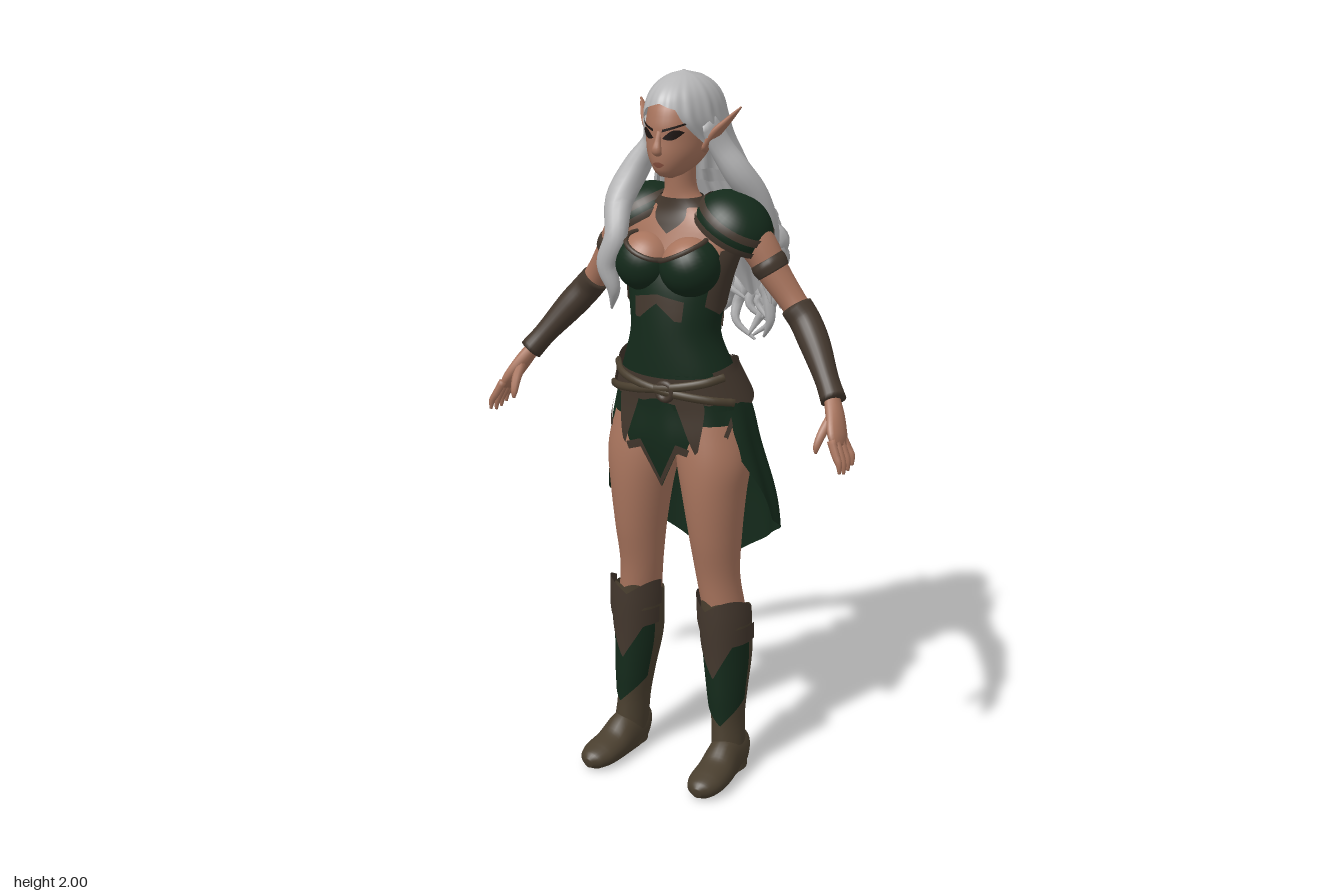
import * as THREE from 'three';
import { mergeVertices } from 'three/addons/utils/BufferGeometryUtils.js';

const mat = (name, color) => new THREE.MeshStandardMaterial({ name, color, side: THREE.DoubleSide });
const { PI, sin, cos, abs, max, min } = Math;

// Smooth grid bent by fn(u, v); v runs from top to bottom
function surface(fn, nu, nv) {
  const g = new THREE.PlaneGeometry(1, 1, nu, nv), p = g.attributes.position;
  for (let i = 0; i < p.count; i++) {
    const q = fn((i % (nu + 1)) / nu, Math.floor(i / (nu + 1)) / nv);
    p.setXYZ(i, q.x, q.y, q.z);
  }
  g.deleteAttribute('uv');
  g.deleteAttribute('normal');
  const m = mergeVertices(g, 1e-5);
  m.computeVertexNormals();
  return m;
}

// Upright body of elliptical rings [y, cx, cz, rx, rz]; angle 0 faces the front
function rings(rows) {
  const slope = (i, k) => {
    const a = rows[max(i - 1, 0)], b = rows[min(i + 1, rows.length - 1)];
    return (b[k] - a[k]) / (b[0] - a[0]);
  };
  return (a, y, off = 0) => {
    const yc = min(max(y, rows[rows.length - 1][0]), rows[0][0]);
    let i = 0;
    while (i < rows.length - 2 && yc < rows[i + 1][0]) i++;
    const A = rows[i], B = rows[i + 1], h = B[0] - A[0], t = (yc - A[0]) / h, s = 1 - t;
    const [cx, cz, rx, rz] = [1, 2, 3, 4].map(k =>
      A[k] * (1 + 2 * t) * s * s + slope(i, k) * h * t * s * s + B[k] * t * t * (3 - 2 * t) - slope(i + 1, k) * h * t * t * s);
    return new THREE.Vector3(cx + sin(a) * max(rx + off, 0.001), y, cz + cos(a) * max(rz + off, 0.001));
  };
}

const val = (f, ...x) => (typeof f === 'function' ? f(...x) : f);

// Strip of a ring body between two angles and two edges
function panel(at, a0, a1, top, bottom, off = 0, nu = 40, nv = 20) {
  return surface((u, v) => {
    const a = a0 + (a1 - a0) * u, y = val(top, a) * (1 - v) + val(bottom, a) * v;
    return at(a, y, val(off, a, y));
  }, nu, nv);
}
const around = (at, top, bottom, off, nu = 40, nv = 24) => panel(at, -PI, PI, top, bottom, off, nu, nv);

// Closed tube through rows [x, y, z, ra, rb]
function sweep(rows, nu = 14, steps = 5, ref = new THREE.Vector3(0, 0, 1)) {
  const path = new THREE.CatmullRomCurve3(rows.map(r => new THREE.Vector3(r[0], r[1], r[2])));
  const rad = new THREE.CatmullRomCurve3(rows.map(r => new THREE.Vector3(r[3], r[4], 0)), false, 'catmullrom');
  const n = (rows.length - 1) * steps;
  const frames = Array.from({ length: n + 1 }, (_, i) => {
    const t = path.getTangent(i / n), side = ref.clone().cross(t).normalize();
    return { c: path.getPoint(i / n), r: rad.getPoint(i / n), side, up: t.clone().cross(side) };
  });
  return surface((u, v) => {
    const k = Math.round(v * (n + 2)) - 1, f = frames[min(max(k, 0), n)], p = f.c.clone();
    if (k < 0 || k > n) return p;
    const a = -u * 2 * PI;
    return p.addScaledVector(f.side, f.r.x * cos(a)).addScaledVector(f.up, f.r.y * sin(a));
  }, nu, n + 2);
}

export function createModel() {
  const skin = mat('skin', 0xa8745d), hair = mat('silverHair', 0xb6b6b7), green = mat('greenCloth', 0x142a1b);
  const leather = mat('brownLeather', 0x43372d), boot = mat('bootLeather', 0x4a3f2f);
  const dark = mat('eyeDark', 0x1d1512), lip = mat('lips', 0x87503f);
  const model = new THREE.Group();
  const left = new THREE.Group();
  left.name = 'leftSide';
  const add = (parent, name, geo, m) => {
    const mesh = new THREE.Mesh(geo, m);
    mesh.name = name;
    parent.add(mesh);
    return mesh;
  };

  // Torso
  const torso = rings([[1.76, 0, .11, .043, .045], [1.68, 0, .1, .046, .047], [1.64, 0, .09, .085, .058],
    [1.6, 0, .085, .16, .075], [1.54, 0, .09, .165, .09], [1.45, 0, .11, .143, .1], [1.38, 0, .122, .13, .098],
    [1.3, 0, .13, .122, .095], [1.2, 0, .115, .155, .11], [1.1, 0, .1, .185, .12], [1.0, 0, .1, .19, .11]]);
  add(model, 'torso', around(torso, 1.76, 1.4), skin);
  add(model, 'corset', around(torso, a => 1.49 - .015 * cos(a), 1.1, .008), green);
  add(model, 'briefs', around(torso, 1.12, a => .95 + .07 * abs(sin(a)), -.005), green);
  add(model, 'backTrim', panel(torso, 1.3, 2 * PI - 1.3, 1.5, 1.455, .013), leather);
  add(model, 'backBand', panel(torso, 1.9, 2 * PI - 1.9, a => 1.36 + .03 * cos(a * 2), 1.31, .013), leather);
  add(model, 'bodiceMotif', panel(torso, -.55, .55, a => 1.42 - .03 * abs(a), a => 1.395 - .045 * min(1, abs(a) / .4), .013), leather);
  add(model, 'choker', around(torso, 1.668, 1.645, .006, 30, 4), leather);
  add(model, 'throatGuard', panel(torso, -.6, .6, 1.655, a => 1.575 + .07 * min(1, abs(a) / .55), .009), leather);
  add(left, 'sidePanel', panel(torso, 1.0, 2.0, a => 1.55 - .03 * abs(a - 1.4), a => 1.36 + .06 * abs(a - 1.5), .013), leather);

  // Bust and cup
  const bust = new THREE.Group();
  bust.name = 'bust';
  bust.position.set(.07, 1.493, .17);
  bust.rotation.set(.15, 0, .4);
  add(bust, 'breast', new THREE.SphereGeometry(.079, 28, 20), skin);
  add(bust, 'cup', new THREE.SphereGeometry(.084, 28, 16, 0, 2 * PI, .3 * PI, .7 * PI), green);
  const trim = add(bust, 'cupTrim', new THREE.TorusGeometry(.068, .007, 8, 32), leather);
  trim.rotation.x = PI / 2;
  trim.position.y = .048;
  left.add(bust);

  // Skirt: long back, short pointed front flap, leather hems
  const skirt = rings([[1.22, 0, .115, .155, .115], [1.1, 0, .085, .197, .138], [1.0, 0, .08, .222, .143],
    [.8, 0, .05, .266, .138], [.55, 0, .03, .27, .13]]);
  const folds = (a, y) => .006 * sin(a * 11) * min(1, max(0, (1.2 - y) * 3));
  const backHem = a => {
    const d = abs(a - PI);
    return d < .8 ? .55 + .13 * d / .8 : d < 1.6 ? .68 + .09 * (d - .8) / .8 : .77 + .23 * min(1, (d - 1.6) / .5);
  };
  const frontHem = a => {
    const d = abs(a);
    return d < .25 ? .87 + .11 * d / .25 : d < .7 ? .98 - .04 * (d - .25) / .45 : .94 + .12 * (d - .7) / .4;
  };
  add(model, 'skirtBack', panel(skirt, 1.0, 2 * PI - 1.0, 1.2, backHem, folds, 96, 24), green);
  add(model, 'skirtFront', panel(skirt, -1.1, 1.1, 1.2, frontHem, (a, y) => folds(a, y) + .004, 80, 16), green);
  add(model, 'frontHem', panel(skirt, -1.1, 1.1, a => frontHem(a) + .025, frontHem, (a, y) => folds(a, y) + .009, 80, 3), leather);
  add(left, 'hipTab', panel(skirt, .28, .7, 1.14, a => .97 + .14 * abs(a - .5) / .2, .014, 20, 10), leather);

  // Belt with crossing straps and a knot
  add(model, 'belt', around(skirt, a => 1.205 - .015 * cos(a), a => 1.13 - .012 * sin(a * 6) ** 2, .01, 72, 8), leather);
  add(left, 'hipGuard', panel(skirt, 1.0, 2.5, a => 1.235 - .03 * abs(a - 1.8), a => 1.11 + .05 * abs(a - 1.6), .018, 30, 8), leather);
  for (const s of [1, -1]) {
    const pts = [-1.2, -.7, -.2, .3, .8, 1.2].map(a => skirt(a, 1.16 + s * .03 * a, .018));
    add(model, 'beltStrap', sweep(pts.map(p => [p.x, p.y, p.z, .012, .008]), 8, 5), boot);
  }
  const knot = add(model, 'beltKnot', new THREE.TorusGeometry(.022, .01, 8, 20), leather);
  knot.position.set(.03, 1.155, .238);

  // Leg, boot, shin and knee guards
  const leg = rings([[1.06, .1, .1, .095, .105], [.95, .111, .112, .103, .108], [.85, .117, .12, .087, .1],
    [.72, .122, .12, .07, .085], [.6, .126, .112, .059, .069], [.5, .138, .1, .057, .07]]);
  add(left, 'leg', around(leg, 1.06, .5), skin);
  const shaft = rings([[.55, .143, .1, .066, .08], [.48, .145, .096, .066, .084], [.36, .148, .09, .061, .086],
    [.25, .154, .102, .05, .072], [.17, .158, .108, .043, .061], [.1, .163, .114, .045, .06], [.02, .168, .116, .046, .062]]);
  add(left, 'bootShaft', around(shaft, a => .505 + .025 * cos(a) + .012 * abs(sin(a * 3)), .02), boot);
  add(left, 'shinCloth', panel(shaft, -1.3, 1.6, .45, a => .165 + .05 * abs(a - .2), .004), green);
  add(left, 'kneeGuardLower', panel(shaft, -1.45, 1.9, .46, a => .31 + .1 * min(1, abs(a) / .8), .008), leather);
  add(left, 'kneeGuardUpper', panel(shaft, -1.5, 1.6, a => .515 + .035 * abs(sin(a * 1.6 + .3)), a => .4 + .07 * min(1, abs(a - .1) / .9), .013), leather);
  const foot = sweep([[.166, .045, .058, .025, .04], [.166, .06, .08, .046, .064], [.168, .058, .14, .048, .07],
    [.174, .04, .21, .053, .047], [.178, .034, .27, .052, .037], [.18, .03, .308, .037, .028], [.181, .026, .326, .012, .014]], 24, 6, new THREE.Vector3(0, 1, 0));
  const fp = foot.attributes.position;
  for (let i = 0; i < fp.count; i++) fp.setY(i, max(0, fp.getY(i)));
  foot.computeVertexNormals();
  add(left, 'bootFoot', foot, boot);

  // Arm, bracer and armband
  add(left, 'arm', sweep([[.15, 1.595, .075, .05, .06], [.205, 1.555, .058, .05, .056], [.26, 1.47, .047, .042, .046],
    [.31, 1.4, .037, .036, .039], [.345, 1.355, .037, .036, .039], [.39, 1.3, .06, .037, .039],
    [.45, 1.22, .103, .027, .029], [.482, 1.17, .128, .021, .026]], 20), skin);
  add(left, 'bracer', sweep([[.32, 1.385, .034, .04, .052], [.348, 1.352, .038, .042, .045], [.39, 1.3, .06, .041, .043],
    [.45, 1.22, .103, .032, .034], [.485, 1.172, .128, .033, .037]], 20), leather);
  add(left, 'armband', sweep([[.235, 1.51, .052, .046, .05], [.245, 1.495, .05, .049, .054], [.257, 1.476, .048, .045, .049]], 20), leather);

  // Hand
  add(left, 'palm', sweep([[.478, 1.178, .125, .02, .025], [.5, 1.14, .148, .021, .033], [.522, 1.095, .176, .018, .04], [.533, 1.07, .183, .011, .035]]), skin);
  for (let i = 0; i < 4; i++) {
    const z = .155 + .02 * i, d = abs(i - 1.7) * .008;
    add(left, 'finger', sweep([[.524, 1.092, z, .012, .012], [.543, 1.055, z + .004 * i - .003, .011, .011],
      [.554, 1.025 + d, z + .005 * i - .002, .009, .009], [.557, 1.0 + d, z + .005 * i, .004, .004]], 8, 4), skin);
  }
  add(left, 'thumb', sweep([[.495, 1.135, .165, .015, .015], [.488, 1.1, .2, .013, .013], [.483, 1.07, .218, .01, .01], [.482, 1.052, .222, .004, .004]], 8, 4), skin);

  // Sloping layered shoulder guard
  const guard = new THREE.Group();
  guard.name = 'shoulderGuard';
  guard.position.set(.138, 1.588, .058);
  guard.rotation.z = -.55;
  [[0, .42, .113, green], [.37, .07, .116, leather], [.43, .09, .114, green], [.5, .06, .118, leather]].forEach(([t0, len, r, m], i) => {
    const g = new THREE.SphereGeometry(r, 36, 12, 0, 2 * PI, t0 * PI, len * PI);
    add(guard, i ? 'guardLayer' : 'guardDome', g, m).scale.set(1, .8, .97);
  });
  left.add(guard);

  // Head and face
  const head = rings([[1.965, 0, .1, .02, .03], [1.935, 0, .1, .066, .088], [1.88, 0, .1, .083, .114], [1.83, 0, .105, .081, .112],
    [1.79, 0, .112, .073, .106], [1.755, 0, .127, .053, .084], [1.733, 0, .145, .03, .05], [1.722, 0, .15, .004, .008]]);
  add(model, 'head', around(head, 1.965, 1.722), skin);
  add(model, 'nose', sweep([[0, 1.86, .207, .008, .008], [0, 1.83, .218, .009, .01], [0, 1.806, .225, .014, .012], [0, 1.796, .216, .011, .008]], 12), skin);
  add(model, 'mouth', panel(head, -.27, .27, a => 1.768 + .007 * cos(a * 5.8), a => 1.768 - .009 * cos(a * 5.8), .004, 16, 4), lip);
  const arc = a => max(0, sin((a - .16) / .64 * PI));
  add(left, 'eye', panel(head, .16, .8, a => 1.838 + .025 * (a - .16) + .014 * arc(a), a => 1.838 + .025 * (a - .16) - .011 * arc(a), .003, 16, 4), dark);
  add(left, 'eyebrow', panel(head, .15, .85, a => 1.862 + .025 * (a - .15), a => 1.855 + .027 * (a - .15), .004, 12, 2), dark);
  add(left, 'ear', sweep([[.072, 1.795, .108, .01, .016], [.1, 1.84, .092, .012, .028], [.13, 1.877, .07, .008, .018], [.156, 1.91, .05, .002, .003]]), skin);

  // Hair cap flowing over the back
  const cap = rings([[2, 0, .085, .004, .004], [1.99, 0, .084, .038, .05], [1.965, 0, .083, .07, .1], [1.93, 0, .08, .089, .132],
    [1.88, 0, .075, .098, .145], [1.82, 0, .045, .103, .135], [1.75, 0, 0, .125, .115], [1.65, .003, -.045, .165, .105], [1.55, .01, -.085, .185, .103],
    [1.45, .012, -.125, .18, .092]]);
  const hairline = a => {
    const d = abs(a);
    return d < .5 ? 1.928 - .03 * d : d < 1.1 ? 1.913 - .13 * (d - .5) / .6 : max(1.47 + .03 * sin(a * 9), 1.783 - .42 * (d - 1.1));
  };
  const waves = (a, y) => (.006 * sin(13 * a + 5 * y) + .004 * sin(23 * a + 14 * y)) * min(1, (2 - y) * 3);
  add(model, 'hairCap', around(cap, 2, hairline, waves, 130, 36), hair);

  // Long hair and wavy strand ends
  const mass = rings([[1.7, .003, -.03, .14, .085], [1.58, .01, -.082, .175, .085], [1.5, .01, -.11, .18, .088],
    [1.42, .01, -.14, .17, .08], [1.34, .02, -.15, .15, .055]]);
  add(model, 'longHair', around(mass, 1.7, a => 1.395 + .035 * sin(a * 7), (a, y) => waves(a, y) * 1.4 - .008, 110, 24), hair);
  let seed = 11;
  const rnd = () => (seed = (seed * 16807) % 2147483647) / 2147483647;
  for (let i = 0; i < 26; i++) {
    const a = PI + (i / 25 - .5) * 4, len = .24 + .19 * rnd(), ph = rnd() * 6, back = .1 * rnd() * (.6 - .4 * sin(a)), r = .02 + .012 * rnd();
    const rows = Array.from({ length: 9 }, (_, k) => {
      const f = k / 8, p = mass(a + .22 * f * sin(k * 1.4 + ph), 1.63 - len * f, -.02 + .016 * sin(k * 1.7 + ph));
      const w = r * min(1, .3 + f * 2) * (1 - f ** 3) + .004;
      return [p.x + .03 * f ** 3 * sin(k * 1.1 + ph), p.y, p.z - back * f ** 3, w, w];
    });
    add(model, 'hairStrand', sweep(rows, 8, 4), hair);
  }

  // Locks beside the face; one falls in front of the right shoulder
  add(model, 'frontLock', sweep([[-.078, 1.88, .12, .016, .035], [-.096, 1.81, .09, .022, .04], [-.13, 1.735, .115, .036, .045], [-.152, 1.65, .17, .04, .036],
    [-.135, 1.56, .218, .032, .028], [-.162, 1.48, .22, .03, .026], [-.148, 1.41, .21, .018, .018], [-.168, 1.35, .19, .003, .003]], 14), hair);
  add(model, 'frontLockCurl', sweep([[-.098, 1.8, .08, .018, .03], [-.15, 1.7, .12, .026, .03], [-.172, 1.61, .17, .022, .024],
    [-.15, 1.53, .2, .022, .022], [-.183, 1.45, .2, .014, .015], [-.175, 1.39, .18, .003, .003]], 12), hair);
  add(model, 'leftLock', sweep([[.08, 1.88, .1, .016, .04], [.1, 1.8, .06, .026, .045], [.135, 1.73, .03, .038, .045],
    [.165, 1.66, -.015, .036, .04], [.18, 1.55, -.06, .03, .035], [.165, 1.45, -.075, .022, .025], [.185, 1.35, -.07, .003, .003]], 14), hair);

  // Mirror the paired parts
  const right = left.clone();
  right.name = 'rightSide';
  right.scale.x = -1;
  model.add(left, right);
  return model;
}
